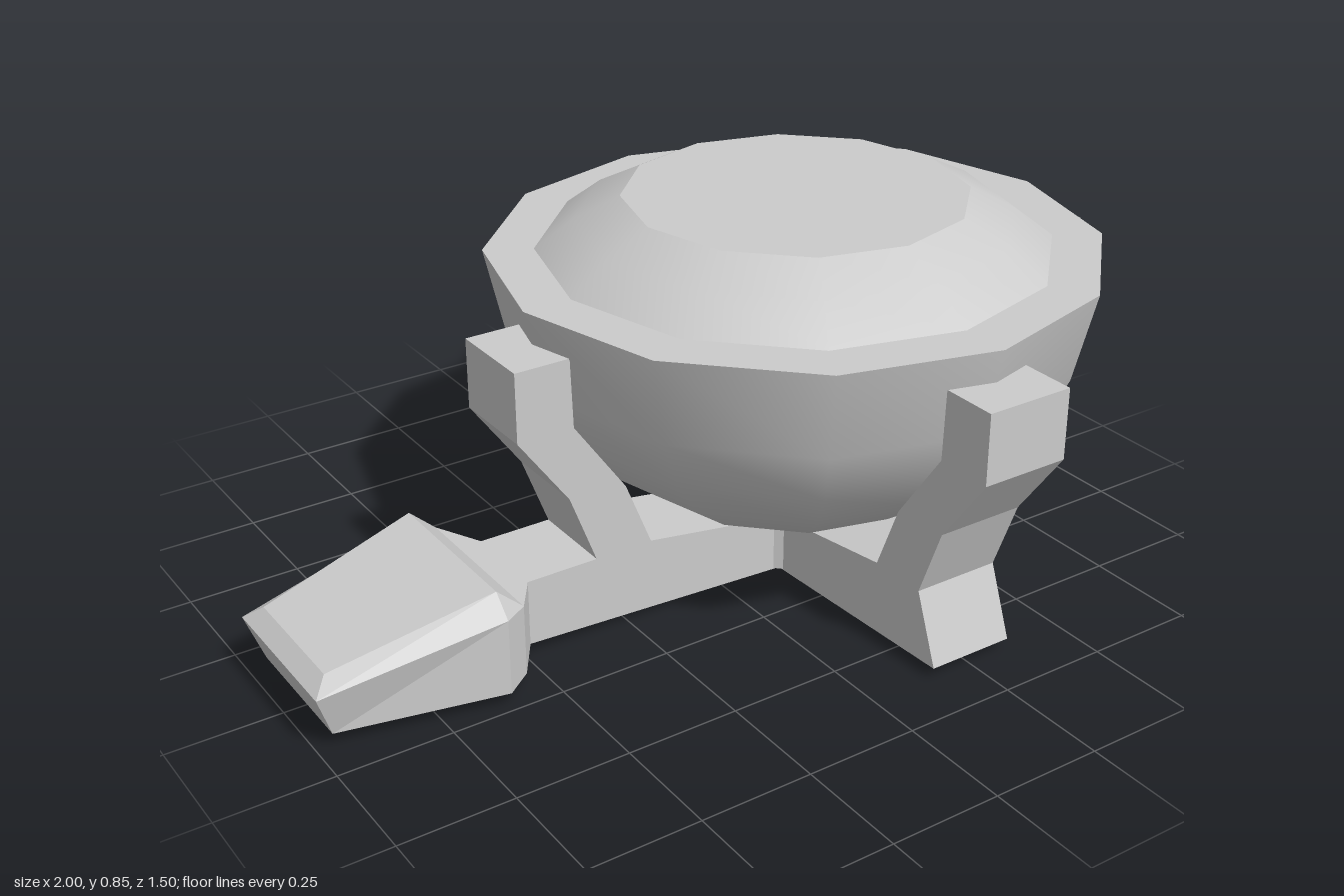
import * as THREE from 'three';

const grey = new THREE.MeshStandardMaterial({ color: 0xcccccc, side: THREE.DoubleSide });
const flat = new THREE.MeshStandardMaterial({ color: 0xcccccc, side: THREE.DoubleSide, flatShading: true });
const v2 = (pts) => pts.map(([x, y]) => new THREE.Vector2(x, y));

function addMesh(parent, name, geometry, material) {
  const mesh = new THREE.Mesh(geometry, material);
  mesh.name = name;
  parent.add(mesh);
  return mesh;
}

// Twelve-sided ring surface; separate pieces keep the edges between them sharp
const ring = (pts) => new THREE.LatheGeometry(v2(pts), 12);

// Bent leg: [distance from centre, height] outline, extruded to the leg width
function legGeometry(withArm) {
  const foot = withArm ? [[0.74, 0.03], [0.74, 0.18]] : [[0.635, 0.025]];
  const outline = [
    [0, 0], [0.1, 0], ...foot,
    [0.575, 0.18], [0.635, 0.34], [0.75, 0.5], [0.75, 0.655],
    [0.625, 0.655], [0.62, 0.5], [0.5, 0.33], [0.44, 0.18], [0.1, 0.13], [0, 0.13],
  ];
  const geo = new THREE.ExtrudeGeometry(new THREE.Shape(v2(outline)), { depth: 0.2, bevelEnabled: false });
  return geo.translate(0, 0, -0.1);
}

// Hollow handle, open underneath: three stacked half outlines, mirrored in z
function handleGeometry() {
  const levels = [
    [[-0.965, 0.03, 0.16], [-0.61, 0.03, 0.235], [-0.55, 0.03, 0.19], [-0.49, 0.03, 0.1]],
    [[-1, 0.13, 0.18], [-0.61, 0.2, 0.235], [-0.55, 0.19, 0.19], [-0.49, 0.18, 0.1]],
    [[-0.965, 0.16, 0.145], [-0.61, 0.245, 0.19], [-0.55, 0.19, 0.19], [-0.49, 0.18, 0.1]],
  ];
  const loops = levels.map((half) => [...half, ...half.map(([x, y, z]) => [x, y, -z]).reverse()]);
  const n = loops[0].length;
  const index = [];
  const quad = (a, b, c, d) => index.push(a, b, c, a, c, d);
  for (let l = 0; l < 2; l++) {
    for (let i = 0; i < n; i++) {
      if (i === 3) continue; // neck stays open where the arm joins
      const j = (i + 1) % n;
      quad(l * n + i, l * n + j, (l + 1) * n + j, (l + 1) * n + i);
    }
  }
  const top = 2 * n;
  for (let i = 0; i < 3; i++) quad(top + i, top + i + 1, top + n - 2 - i, top + n - 1 - i);
  const geo = new THREE.BufferGeometry();
  geo.setAttribute('position', new THREE.Float32BufferAttribute(loops.flat(2), 3));
  geo.setIndex(index);
  geo.computeVertexNormals();
  return geo;
}

export function createModel() {
  const model = new THREE.Group();
  model.name = 'bowlOnStand';

  // Bowl with flat rim and domed contents
  const bowl = new THREE.Group();
  bowl.name = 'bowl';
  bowl.position.x = 0.25;
  addMesh(bowl, 'bowlShell', ring([
    [0, 0.13], [0.19, 0.145], [0.35, 0.21], [0.48, 0.305], [0.57, 0.41], [0.625, 0.53], [0.67, 0.73],
  ]), grey);
  addMesh(bowl, 'rim', ring([[0.67, 0.73], [0.56, 0.73]]), grey);
  addMesh(bowl, 'dome', ring([[0.56, 0.73], [0.475, 0.795], [0.375, 0.845]]), grey);
  addMesh(bowl, 'domeTop', ring([[0.375, 0.845], [0, 0.845]]), grey);
  model.add(bowl);

  // Four-legged stand; the leg on the right carries the handle arm
  const stand = new THREE.Group();
  stand.name = 'stand';
  stand.position.x = 0.25;
  for (let k = 0; k < 4; k++) {
    const leg = addMesh(stand, k === 2 ? 'legWithArm' : 'leg', legGeometry(k === 2), flat);
    leg.rotation.y = (k * Math.PI) / 2;
  }
  // Hub bevels the inner corners of the cross
  const hub = addMesh(stand, 'hub', new THREE.CylinderGeometry(0.165, 0.165, 0.125, 8), flat);
  hub.position.y = 0.0655;
  hub.rotation.y = Math.PI / 8;
  model.add(stand);

  addMesh(model, 'handle', handleGeometry(), flat);
  return model;
}
